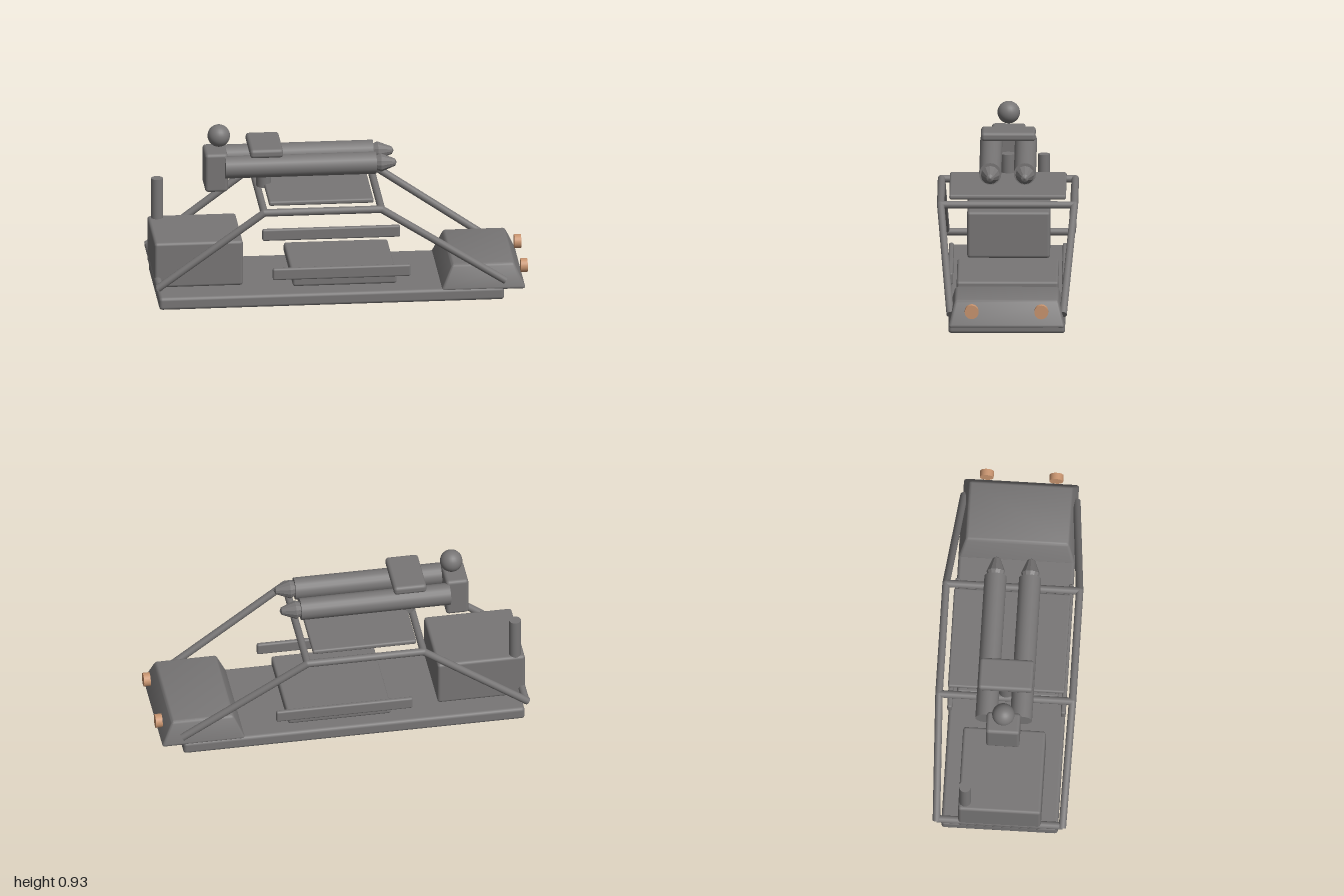
import * as THREE from 'three';
import { RoundedBoxGeometry } from 'three/addons/geometries/RoundedBoxGeometry.js';
import { toCreasedNormals } from 'three/addons/utils/BufferGeometryUtils.js';

export function createModel() {
  const model = new THREE.Group();
  model.name = 'buggy';
  const grey = new THREE.MeshStandardMaterial({ color: 0x787676 });
  grey.name = 'body grey';
  const amber = new THREE.MeshStandardMaterial({ color: 0xc8946f });
  amber.name = 'lamp amber';

  function add(name, geometry, material = grey) {
    const mesh = new THREE.Mesh(geometry, material);
    mesh.name = name;
    model.add(mesh);
    return mesh;
  }

  // Rounded box given by its limits on each axis
  function box(name, [x0, x1], [y0, y1], [z0, z1], radius) {
    const mesh = add(name, new RoundedBoxGeometry(x1 - x0, y1 - y0, z1 - z0, 2, radius));
    mesh.position.set((x0 + x1) / 2, (y0 + y1) / 2, (z0 + z1) / 2);
    return mesh;
  }

  // Round bar between two points
  function bar(name, from, to, radius, material = grey, sides = 16) {
    const a = new THREE.Vector3(...from), b = new THREE.Vector3(...to);
    const dir = b.clone().sub(a);
    const mesh = add(name, new THREE.CylinderGeometry(radius, radius, dir.length(), sides), material);
    mesh.position.copy(a).add(b).multiplyScalar(0.5);
    mesh.quaternion.setFromUnitVectors(new THREE.Vector3(0, 1, 0), dir.normalize());
    return mesh;
  }

  // Chassis, engine and seat
  box('floor', [-0.975, 0.865], [0.003, 0.073], [-0.31, 0.31], 0.018);
  box('engine', [-0.992, -0.52], [0.098, 0.35], [-0.22, 0.22], 0.016);
  bar('exhaust', [-0.942, 0.33, -0.185], [-0.942, 0.572, -0.185], 0.032);
  box('seat', [-0.26, 0.295], [0.1, 0.157], [-0.27, 0.27], 0.014);

  // Nose: a rounded box narrowed towards its top
  const noseGeometry = new RoundedBoxGeometry(0.455, 0.14, 0.62, 2, 0.016);
  const p = noseGeometry.attributes.position;
  for (let i = 0; i < p.count; i++) {
    const t = p.getY(i) / 0.14 + 0.5;
    p.setX(i, p.getX(i) * (1 - 0.28 * t));
    p.setZ(i, p.getZ(i) * (1 - 0.12 * t));
  }
  add('nose', toCreasedNormals(noseGeometry, 0.5)).position.set(0.755, 0.13, 0);

  // Roof panel on its tubular frame
  box('roof', [-0.39, 0.168], [0.574, 0.6], [-0.31, 0.31], 0.01);
  const y = 0.555, r = 0.02;
  for (const x of [-0.42, 0.205]) bar('roofCrossbar', [x, y, -0.355], [x, y, 0.355], r);
  bar('rearCrossbar', [-0.975, 0.14, -0.335], [-0.975, 0.14, 0.335], r);

  for (const s of [1, -1]) {
    // Side frame
    bar('roofRail', [-0.42, y, s * 0.355], [0.205, y, s * 0.355], r);
    bar('frontStrut', [0.205, y, s * 0.355], [0.87, 0.11, s * 0.3], r);
    bar('rearStrut', [-0.42, y, s * 0.355], [-0.985, 0.14, s * 0.335], r);
    for (const x of [-0.42, 0.205])
      add('frameJoint', new THREE.SphereGeometry(r, 16, 10)).position.set(x, y, s * 0.355);
    const z = [s * 0.289, s * 0.315].sort((a, b) => a - b);
    box('sideRail', [-0.37, 0.365], [0.155, 0.22], z, 0.01);

    // Headlamp
    bar('headlamp', [0.962, 0.15, s * 0.185], [0.998, 0.15, s * 0.185], 0.037, amber, 24);

    // Launch tube and its pointed tip
    bar('launchTube', [-0.605, 0.722, s * 0.092], [0.2, 0.722, s * 0.092], 0.059, grey, 20);
    const tipProfile = [[0, 0], [0.038, 0], [0.05, 0.03], [0.02, 0.105], [0, 0.115]]
      .map(([px, py]) => new THREE.Vector2(px, py));
    const tip = add('tubeTip', toCreasedNormals(new THREE.LatheGeometry(tipProfile, 12), 0.4));
    tip.rotation.z = -Math.PI / 2;
    tip.position.set(0.196, 0.722, s * 0.092);
  }

  // Launcher mount
  bar('mountPost', [-0.39, 0.58, 0], [-0.39, 0.7, 0], 0.04);
  box('topPlate', [-0.475, -0.298], [0.783, 0.832], [-0.145, 0.145], 0.018);
  box('rearBlock', [-0.71, -0.588], [0.58, 0.795], [-0.09, 0.09], 0.018);
  add('sensorBall', new THREE.SphereGeometry(0.06, 24, 16)).position.set(-0.63, 0.87, 0);

  return model;
}
